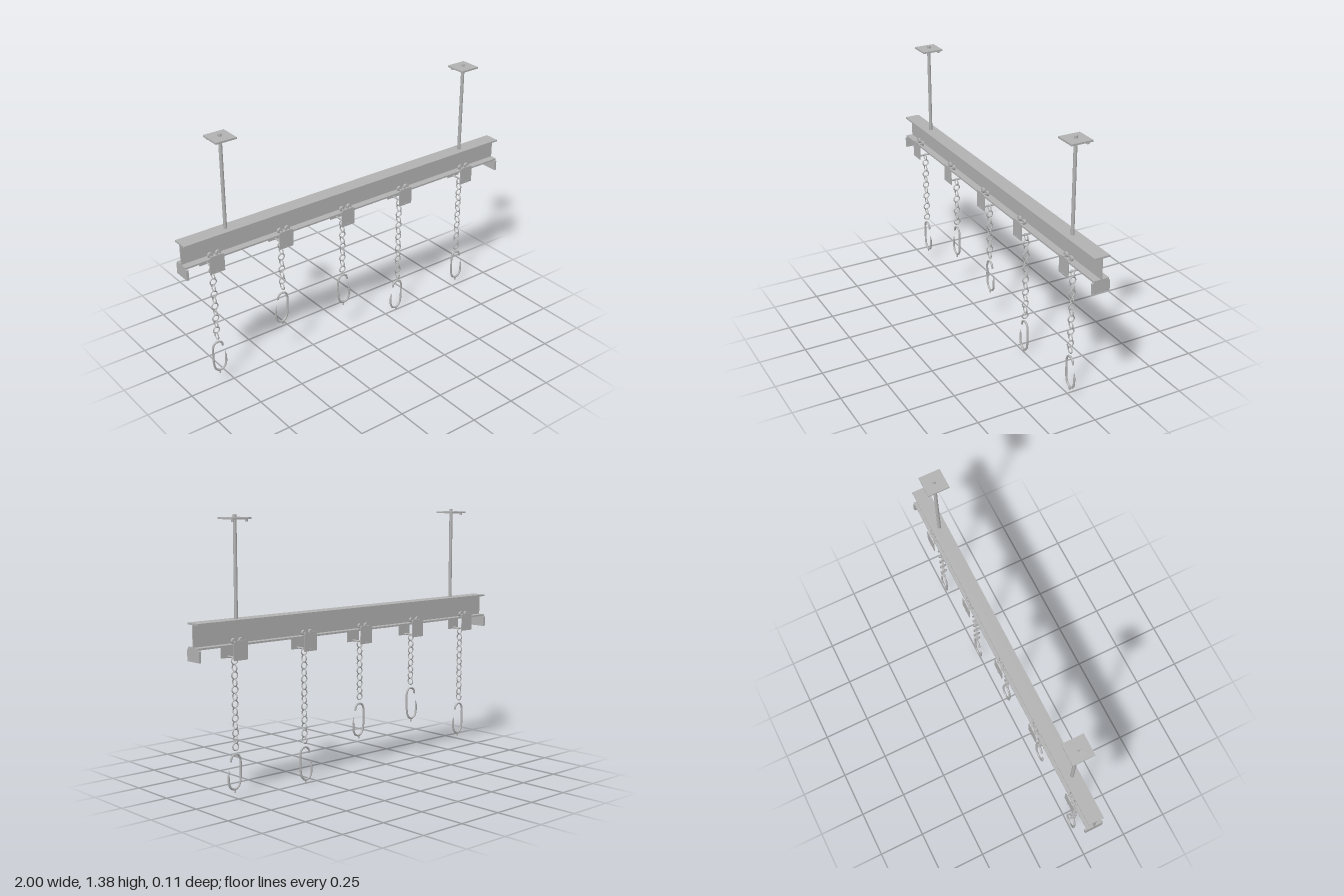
import * as THREE from 'three';

const steel = new THREE.MeshStandardMaterial({ color: 0xb2b2b2 });
steel.name = 'steel grey';

function add(parent, name, geometry, x = 0, y = 0, z = 0) {
  const mesh = new THREE.Mesh(geometry, steel);
  mesh.name = name;
  mesh.position.set(x, y, z);
  parent.add(mesh);
  return mesh;
}

const box = (w, h, d) => new THREE.BoxGeometry(w, h, d);
const rod = (r, length, sides = 16) => new THREE.CylinderGeometry(r, r, length, sides);
const pin = (r, length) => rod(r, length).rotateX(Math.PI / 2);

// Upright plate with its two top corners cut off; base at y = 0, centred in z
function cutPlate(width, height, cut, thickness) {
  const w = width / 2;
  const shape = new THREE.Shape([
    [-w, 0], [w, 0], [w, height - cut], [w - cut, height], [-w + cut, height], [-w, height - cut],
  ].map(([x, y]) => new THREE.Vector2(x, y)));
  return new THREE.ExtrudeGeometry(shape, { depth: thickness, bevelEnabled: false })
    .translate(0, 0, -thickness / 2);
}

// I-beam rail with a stop plate at each end
function makeRail() {
  const rail = new THREE.Group();
  rail.name = 'rail';
  add(rail, 'topFlange', box(2, 0.009, 0.082), 0, 0.8775, 0);
  add(rail, 'web', box(2, 0.106, 0.007), 0, 0.821, 0);
  add(rail, 'bottomFlange', box(2, 0.009, 0.082), 0, 0.7635, 0);
  for (const s of [-1, 1]) {
    add(rail, 'endStop', cutPlate(0.094, 0.067, 0.013, 0.012).rotateY(Math.PI / 2), s * 0.994, 0.7, 0);
  }
  return rail;
}

// Ceiling rod with a square mounting plate and two bolts
function makeHanger(x) {
  const hanger = new THREE.Group();
  hanger.name = 'hanger';
  hanger.position.x = x;
  add(hanger, 'hangerRod', rod(0.009, 0.495), 0, 1.1275, 0);
  add(hanger, 'ceilingPlate', box(0.112, 0.009, 0.114), 0, 1.357, 0);
  for (const s of [-1, 1]) add(hanger, 'plateBolt', rod(0.007, 0.012, 12), s * 0.04, 1.347, -0.038);
  return hanger;
}

// Trolley: two side plates, four wheels on the lower flange and a cross pin
function makeTrolley() {
  const trolley = new THREE.Group();
  trolley.name = 'trolley';
  for (const s of [-1, 1]) {
    add(trolley, 'sidePlate', cutPlate(0.082, 0.095, 0.008, 0.004), 0, 0.69, s * 0.051);
    for (const x of [-0.022, 0.022]) {
      add(trolley, 'wheel', pin(0.014, 0.012), x, 0.782, s * 0.027);
      add(trolley, 'axle', pin(0.004, 0.028), x, 0.779, s * 0.038);
    }
  }
  add(trolley, 'crossPin', pin(0.005, 0.112), 0, 0.697, 0);
  return trolley;
}

// Open oval hook, top at y = 0, mouth on the side given by s
function makeHook(s) {
  const hook = new THREE.Group();
  hook.name = 'hook';
  const path = new THREE.CatmullRomCurve3([
    [0.03, -0.034], [0.024, -0.015], [0.005, -0.0055], [-0.016, -0.011], [-0.027, -0.032],
    [-0.028, -0.07], [-0.027, -0.125], [-0.018, -0.16], [0.006, -0.177], [0.031, -0.168],
    [0.043, -0.145], [0.045, -0.105],
  ].map(([x, y]) => new THREE.Vector3(s * x, y, 0)));
  add(hook, 'hookBody', new THREE.TubeGeometry(path, 72, 0.0055, 10));
  add(hook, 'hookEnd', new THREE.SphereGeometry(0.0055, 10, 8), s * 0.03, -0.034, 0);
  // Tapered point continuing the free end
  const tip = add(hook, 'hookTip', new THREE.ConeGeometry(0.0055, 0.034, 10), s * 0.0433, -0.0885, 0);
  tip.rotation.z = s * 0.1;
  add(hook, 'hookNub', rod(0.004, 0.016, 10), s * 0.006, -0.187, 0);
  return hook;
}

// Chain of round links turned by a quarter each, with its hook
function makeChain(links, s) {
  const chain = new THREE.Group();
  chain.name = 'chain';
  const link = new THREE.TorusGeometry(0.0172, 0.0032, 8, 24);
  const top = 0.682, step = 0.035;
  for (let i = 0; i < links; i++) {
    add(chain, 'chainLink', link, 0, top - i * step, 0).rotation.y = (i % 2) * Math.PI / 2;
  }
  const hook = makeHook(s);
  hook.position.y = top - (links - 1) * step - 0.032;
  chain.add(hook);
  return chain;
}

export function createModel() {
  const model = new THREE.Group();
  model.name = 'hookRail';
  model.add(makeRail(), makeHanger(-0.75), makeHanger(0.75));
  // Position along the rail, number of links, side of the hook's mouth
  const stations = [[-0.835, 12, 1], [-0.436, 8, -1], [-0.052, 9, 1], [0.33, 14, -1], [0.764, 13, 1]];
  for (const [x, links, s] of stations) {
    const station = new THREE.Group();
    station.name = 'hookStation';
    station.position.x = x;
    station.add(makeTrolley(), makeChain(links, s));
    model.add(station);
  }
  return model;
}
